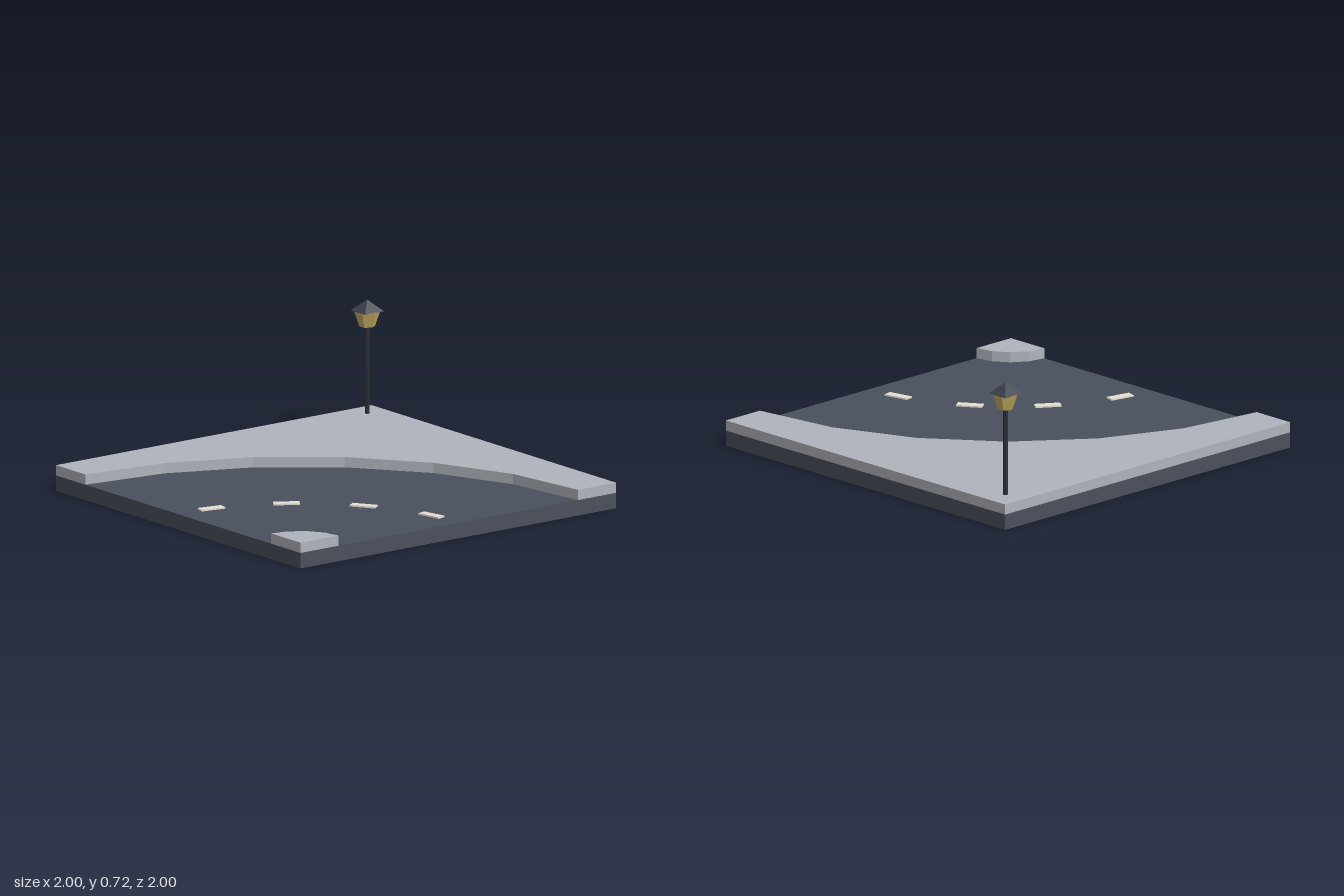
import * as THREE from 'three';

const BASE_TOP = 0.08, KERB_TOP = 0.133;

const mat = (color) => new THREE.MeshStandardMaterial({ color, flatShading: true });

function part(name, geometry, material, x = 0, y = 0, z = 0) {
  const mesh = new THREE.Mesh(geometry, material);
  mesh.name = name;
  mesh.position.set(x, y, z);
  return mesh;
}

// Points of a quarter arc around the corner x = 1, z = 1, as (x, -z)
function quarterArc(radius, segments) {
  return Array.from({ length: segments + 1 }, (_, i) => {
    const a = (i / segments) * Math.PI / 2;
    return new THREE.Vector2(1 - radius * Math.cos(a), -1 + radius * Math.sin(a));
  });
}

// Upright slab from an outline given as (x, -z)
function slab(points) {
  const geo = new THREE.ExtrudeGeometry(new THREE.Shape(points), {
    depth: KERB_TOP - BASE_TOP, bevelEnabled: false,
  });
  return geo.rotateX(-Math.PI / 2);
}

export function createModel() {
  const model = new THREE.Group();
  model.name = 'roadCornerTile';

  const asphalt = mat(0x4a505c);
  const paving = mat(0xb0b4bc);
  const paint = mat(0xe4e0d2);
  const iron = mat(0x2c2f36);
  const roofMetal = mat(0x3c424d);
  const glass = mat(0xc8b064);

  // Road base
  model.add(part('roadBase', new THREE.BoxGeometry(2, BASE_TOP, 2), asphalt, 0, BASE_TOP / 2, 0));

  // Pavements outside and inside the bend
  const outer = [...quarterArc(1.76, 6), new THREE.Vector2(1, 1),
    new THREE.Vector2(-1, 1), new THREE.Vector2(-1, -1)];
  const inner = [...quarterArc(0.24, 4), new THREE.Vector2(1, -1)];
  model.add(part('outerPavement', slab(outer), paving, 0, BASE_TOP, 0));
  model.add(part('innerPavement', slab(inner), paving, 0, BASE_TOP, 0));

  // Lane dashes along the middle of the road
  const dashGeo = new THREE.BoxGeometry(0.048, 0.01, 0.133);
  for (let i = 0; i < 4; i++) {
    const a = THREE.MathUtils.degToRad(11.25 + 22.5 * i);
    const dash = part('laneDash', dashGeo, paint,
      1 - Math.cos(a), BASE_TOP + 0.003, 1 - Math.sin(a));
    dash.rotation.y = -a;
    model.add(dash);
  }

  // Street lamp: pole, six-sided lantern, pyramid roof
  const lamp = new THREE.Group();
  lamp.name = 'streetLamp';
  lamp.position.set(-0.88, 0, -0.88);
  lamp.add(part('lampPole', new THREE.CylinderGeometry(0.012, 0.012, 0.455, 6), iron, 0, 0.358, 0));
  const lantern = part('lantern', new THREE.CylinderGeometry(0.067, 0.04, 0.08, 6), glass, 0, 0.624, 0);
  lantern.rotation.y = Math.PI / 6;
  const roof = part('lampRoof', new THREE.ConeGeometry(0.085, 0.058, 4), roofMetal, 0, 0.692, 0);
  roof.rotation.y = Math.PI / 4;
  lamp.add(lantern, roof);
  model.add(lamp);

  return model;
}
